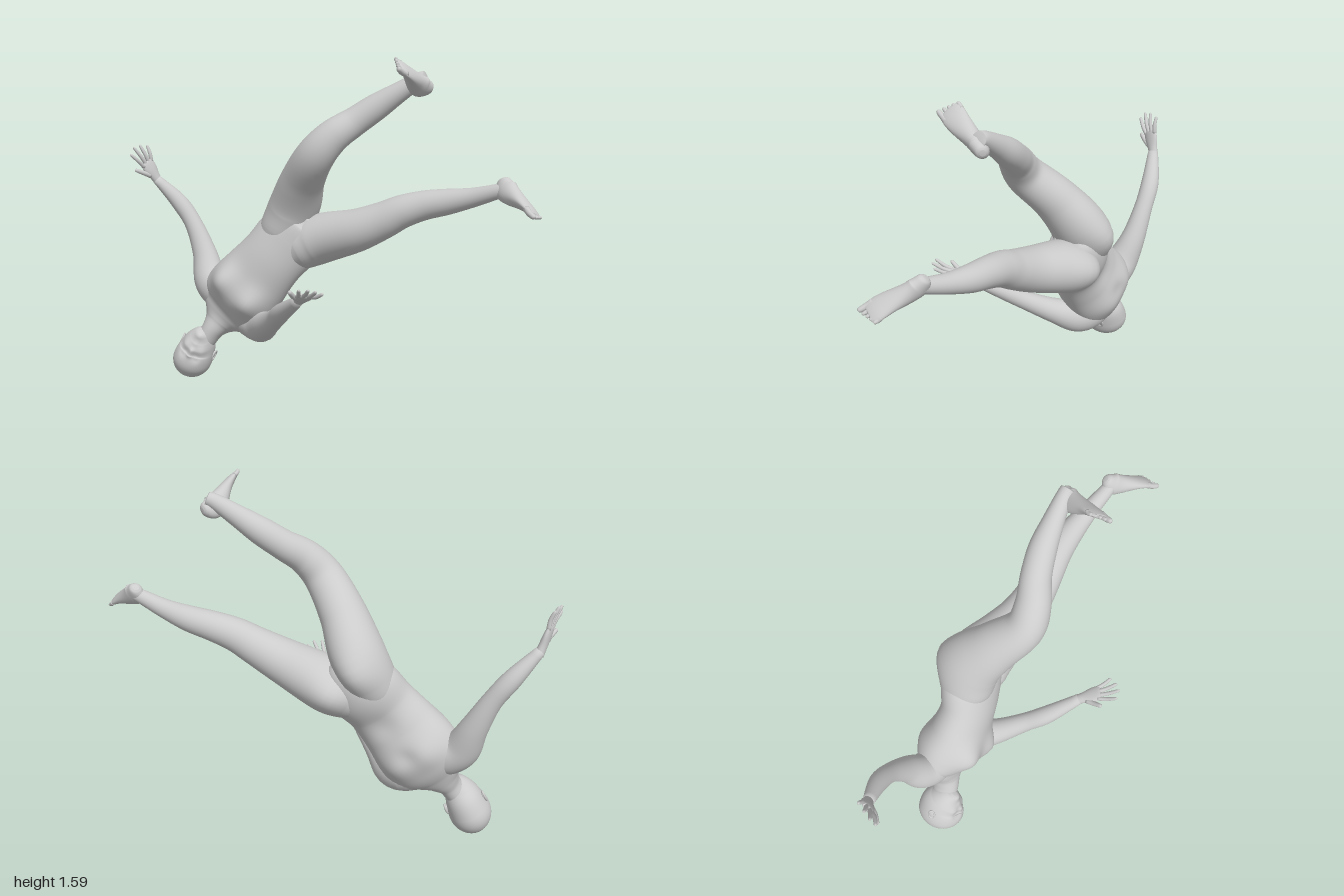
import * as THREE from 'three';

const skin = new THREE.MeshStandardMaterial({ color: 0xcccccc });
const V = (p) => new THREE.Vector3(...p);

// Smooth closed skin through sections [x, y, z, halfWidth, halfDepth]; side is the width direction
function loft(name, sections, side, around = 28, perSpan = 6) {
  const path = new THREE.CatmullRomCurve3(sections.map((s) => V(s)), false, 'catmullrom');
  const size = new THREE.CatmullRomCurve3(sections.map((s) => new THREE.Vector3(s[3], s[4] ?? s[3], 0)), false, 'catmullrom');
  const n = (sections.length - 1) * perSpan;
  const pos = [], idx = [];
  for (let i = 0; i <= n; i++) {
    const c = path.getPoint(i / n), r = size.getPoint(i / n), t = path.getTangent(i / n);
    const s = V(side).addScaledVector(t, -V(side).dot(t)).normalize();
    const b = t.clone().cross(s);
    for (let j = 0; j < around; j++) {
      const a = (j / around) * Math.PI * 2;
      const p = c.clone().addScaledVector(s, r.x * Math.cos(a)).addScaledVector(b, r.y * Math.sin(a));
      pos.push(p.x, p.y, p.z);
      if (i === n) continue;
      const k = i * around + j, l = i * around + ((j + 1) % around);
      idx.push(k, l, k + around, l, l + around, k + around);
    }
  }
  // end caps
  const first = pos.length / 3, last = n * around;
  pos.push(...sections[0].slice(0, 3), ...sections[sections.length - 1].slice(0, 3));
  for (let j = 0; j < around; j++) {
    const q = (j + 1) % around;
    idx.push(first, q, j, first + 1, last + j, last + q);
  }
  const g = new THREE.BufferGeometry();
  g.setAttribute('position', new THREE.Float32BufferAttribute(pos, 3));
  g.setIndex(idx);
  g.computeVertexNormals();
  const m = new THREE.Mesh(g, skin);
  m.name = name;
  return m;
}

// Soft bumps and hollows: each [centre, radius, push] moves nearby skin
function swell(mesh, bumps) {
  const p = mesh.geometry.attributes.position, v = new THREE.Vector3();
  for (const [centre, radius, push] of bumps) {
    const c = V(centre), d = V(push);
    for (let i = 0; i < p.count; i++) {
      v.fromBufferAttribute(p, i);
      v.addScaledVector(d, Math.exp(-v.distanceToSquared(c) / (radius * radius)));
      p.setXYZ(i, v.x, v.y, v.z);
    }
  }
  mesh.geometry.computeVertexNormals();
  return mesh;
}

// Group whose local z points along forward and local x along side
function frame(name, origin, forward, side) {
  const z = V(forward).normalize();
  const x = V(side).addScaledVector(z, -V(side).dot(z)).normalize();
  const g = new THREE.Group();
  g.name = name;
  g.quaternion.setFromRotationMatrix(new THREE.Matrix4().makeBasis(x, z.clone().cross(x), z));
  g.position.set(...origin);
  return g;
}

// Finger or toe: tapered, rounded rod bent at its middle
function digit(name, a, b, r, bend) {
  const at = (t, y = 0) => a.map((v, i) => v + (b[i] - v) * t + (i === 1 ? y : 0));
  return loft(name, [[...at(0), r], [...at(0.45, bend), r * 0.95], [...at(0.9), r * 0.75], [...at(1), r * 0.2]],
    [1, 0, 0], 10, 4);
}

// Hand: wrist at the origin, fingers along z, thumb towards +x
function hand(name, origin, forward, thumb) {
  const g = frame(name, origin, forward, thumb);
  g.add(loft('palm', [[0, 0, -0.02, 0.022, 0.02], [0, 0, 0.02, 0.027, 0.018], [0, 0, 0.065, 0.038, 0.016],
    [0, 0, 0.098, 0.036, 0.012], [0, 0, 0.108, 0.026, 0.006]], [1, 0, 0], 20));
  [0.185, 0.203, 0.193, 0.168].forEach((len, i) => {
    const k = 1.5 - i;
    g.add(digit('finger', [k * 0.018, 0, 0.09], [k * 0.037, 0, len], 0.0095, 0.005));
  });
  g.add(digit('thumb', [0.022, 0, 0.035], [0.075, -0.008, 0.108], 0.012, 0.003));
  return g;
}

// Foot: heel at the origin, toes along z, instep towards +y, big toe on side m
function foot(name, origin, forward, side, m) {
  const g = frame(name, origin, forward, side);
  g.add(loft('footBody', [[0, 0.014, -0.033, 0.012, 0.014], [0, 0.018, -0.022, 0.026, 0.03], [0, 0.032, 0.015, 0.033, 0.05],
    [0, 0.028, 0.06, 0.037, 0.043], [m * 0.004, 0.01, 0.13, 0.046, 0.026], [m * 0.004, 0.001, 0.18, 0.05, 0.017],
    [m * 0.003, -0.002, 0.21, 0.043, 0.01], [m * 0.003, -0.003, 0.217, 0.03, 0.005]], [1, 0, 0], 24));
  for (let i = 0; i < 5; i++) {
    const x = m * (0.039 - i * 0.0185 - (i ? 0.003 : 0));
    g.add(digit('toe', [x, 0, 0.18], [x * 1.05, -0.004, 0.246 - i * 0.008], i ? 0.0095 : 0.0135, 0.003));
  }
  return g;
}

function head() {
  const g = frame('head', [-0.68, 0.112, -0.09], [0.2, 0.04, 1], [-0.9, 0.42, 0.1]);
  // chin to crown
  const skull = loft('skull', [[0, -0.152, 0.055, 0.012, 0.012], [0, -0.143, 0.05, 0.032, 0.034], [0, -0.12, 0.035, 0.055, 0.06],
    [0, -0.09, 0.02, 0.073, 0.083], [0, -0.05, 0.004, 0.086, 0.104], [0, 0, 0, 0.095, 0.113], [0, 0.04, -0.003, 0.093, 0.108],
    [0, 0.075, -0.005, 0.077, 0.088], [0, 0.1, -0.006, 0.051, 0.058], [0, 0.111, -0.006, 0.02, 0.022]], [1, 0, 0], 72, 9);
  // nose, lips, then eye sockets, eyes and cheeks on both halves
  swell(skull, [[[0, -0.035, 0.108], 0.014, [0, 0, 0.012]], [[0, -0.057, 0.108], 0.015, [0, 0, 0.022]],
    [[0, -0.094, 0.1], 0.016, [0, 0, 0.008]], [[0, -0.14, 0.08], 0.025, [0, 0, 0.008]]]);
  for (const s of [-1, 1]) {
    swell(skull, [[[s * 0.034, -0.027, 0.1], 0.02, [0, 0, -0.012]], [[s * 0.034, -0.027, 0.09], 0.01, [0, 0, 0.006]],
      [[s * 0.045, -0.065, 0.08], 0.025, [s * 0.002, 0, 0.006]]]);
    // ear with a raised rim
    const ear = new THREE.Group();
    ear.name = 'ear';
    const rim = new THREE.Mesh(new THREE.TorusGeometry(0.018, 0.005, 10, 24), skin);
    const bowl = new THREE.Mesh(new THREE.SphereGeometry(1, 20, 14), skin);
    rim.name = 'earRim';
    bowl.name = 'earBowl';
    rim.scale.set(0.8, 1.4, 1);
    bowl.position.z = -0.005;
    bowl.scale.set(0.015, 0.025, 0.007);
    ear.add(rim, bowl);
    ear.position.set(s * 0.09, -0.04, -0.012);
    ear.rotation.set(0.12, s * (Math.PI / 2 - 0.2), 0);
    g.add(ear);
  }
  g.add(skull);
  return g;
}

export function createModel() {
  const model = new THREE.Group();
  model.name = 'figure';
  const across = [0.77, -0.64, 0];

  // Neck, raised shoulders, chest, waist and pelvis
  const torso = loft('torso', [[-0.62, 0.195, -0.105, 0.05, 0.06], [-0.585, 0.25, -0.12, 0.056, 0.065],
    [-0.558, 0.29, -0.14, 0.085, 0.073], [-0.53, 0.328, -0.155, 0.142, 0.086], [-0.49, 0.375, -0.168, 0.185, 0.115],
    [-0.435, 0.445, -0.17, 0.19, 0.138], [-0.36, 0.535, -0.165, 0.174, 0.126], [-0.28, 0.63, -0.172, 0.16, 0.118],
    [-0.2, 0.73, -0.208, 0.162, 0.127], [-0.13, 0.81, -0.22, 0.115, 0.113], [-0.09, 0.85, -0.215, 0.055, 0.065]], across, 60, 8);
  // breasts, shoulder blades, spine hollow
  swell(torso, [[[-0.48, 0.53, -0.05], 0.075, [-0.005, 0.005, 0.045]], [[-0.345, 0.42, -0.05], 0.075, [0.005, 0, 0.045]],
    [[-0.5, 0.48, -0.28], 0.07, [0, 0, -0.014]], [[-0.375, 0.38, -0.28], 0.07, [0, 0, -0.014]],
    [[-0.42, 0.46, -0.31], 0.04, [0, 0, 0.01]], [[-0.32, 0.58, -0.29], 0.06, [0, 0, 0.012]]]);
  model.add(torso, head());

  // Arms, from inside the chest to the wrist
  model.add(loft('rightArm', [[-0.53, 0.42, -0.175, 0.08, 0.09], [-0.585, 0.44, -0.18, 0.086, 0.095],
    [-0.64, 0.485, -0.195, 0.078, 0.083], [-0.686, 0.6, -0.225, 0.058, 0.061], [-0.752, 0.742, -0.235, 0.044],
    [-0.827, 0.85, -0.225, 0.042, 0.041], [-0.925, 0.965, -0.18, 0.025, 0.022]], [0, 0, 1]));
  model.add(hand('rightHand', [-0.925, 0.965, -0.18], [-0.3, 0.85, 0.38], [-0.25, -0.3, 0.9]));
  model.add(loft('leftArm', [[-0.44, 0.335, -0.17, 0.08, 0.09], [-0.39, 0.313, -0.165, 0.087, 0.092],
    [-0.325, 0.302, -0.13, 0.08, 0.085], [-0.25, 0.337, -0.045, 0.06], [-0.155, 0.405, 0.05, 0.045],
    [-0.08, 0.468, 0.125, 0.043, 0.04], [0.045, 0.56, 0.22, 0.025, 0.022]], [-0.8, 0, 0.6]));
  model.add(hand('leftHand', [0.045, 0.56, 0.22], [0.13, 0.092, 0.135], [-0.85, 0.1, 0.5]));

  // Legs, from inside the waist to the ankle, with rounded buttocks
  model.add(swell(loft('rightLeg', [[-0.29, 0.67, -0.18, 0.085, 0.09], [-0.24, 0.765, -0.205, 0.11, 0.125],
    [-0.18, 0.885, -0.21, 0.116, 0.138], [-0.105, 1.02, -0.138, 0.1, 0.112], [-0.005, 1.145, -0.055, 0.088],
    [0.075, 1.235, -0.063, 0.076], [0.16, 1.3, -0.108, 0.065], [0.25, 1.365, -0.138, 0.059], [0.34, 1.425, -0.153, 0.046],
    [0.43, 1.482, -0.165, 0.034], [0.465, 1.495, -0.168, 0.03]], across, 40),
  [[[-0.185, 0.84, -0.35], 0.09, [0, 0, -0.028]]]));
  model.add(foot('rightFoot', [0.478, 1.473, -0.168], [-0.095, 0.1, 0.23], [-0.6, 0.63, -0.48], -1));
  model.add(swell(loft('leftLeg', [[-0.21, 0.65, -0.18, 0.08, 0.09], [-0.14, 0.69, -0.205, 0.108, 0.12],
    [-0.045, 0.737, -0.22, 0.118, 0.132], [0.14, 0.797, -0.185, 0.1, 0.105], [0.27, 0.855, -0.18, 0.085],
    [0.36, 0.902, -0.185, 0.075], [0.46, 0.937, -0.195, 0.066], [0.57, 0.962, -0.195, 0.057],
    [0.68, 0.99, -0.182, 0.043], [0.785, 1.025, -0.165, 0.033], [0.825, 1.04, -0.162, 0.03]], [0.3, -0.9, 0], 40),
  [[[-0.09, 0.74, -0.34], 0.09, [0, 0, -0.03]]]));
  model.add(foot('leftFoot', [0.842, 1.072, -0.168], [0.165, -0.142, 0.142], [-0.116, 0.124, 0.204], 1));
  return model;
}
